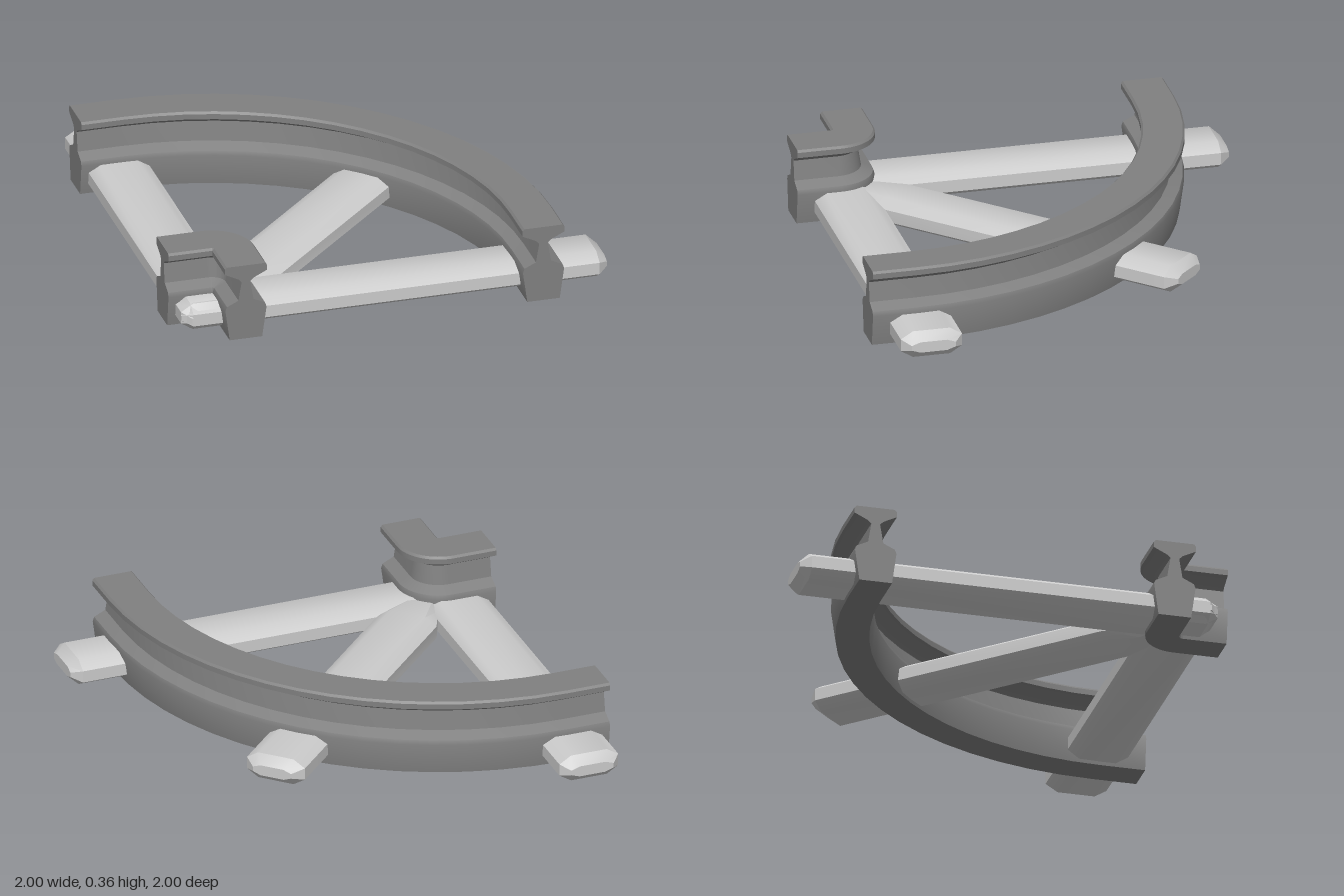
import * as THREE from 'three';
import { toCreasedNormals } from 'three/addons/utils/BufferGeometryUtils.js';

const railMaterial = new THREE.MeshStandardMaterial({ color: 0x808080 });
const sleeperMaterial = new THREE.MeshStandardMaterial({ color: 0xcccccc });

// Skin a list of equal-length rings of Vector3 and close both ends.
// outline is the 2D cross-section (counter-clockwise) used to fill the caps.
function loft(rings, outline, crease) {
  const n = outline.length;
  const index = [];
  for (let i = 0; i < rings.length - 1; i++) {
    for (let j = 0; j < n; j++) {
      const a = i * n + j, b = i * n + (j + 1) % n;
      index.push(a, b, b + n, a, b + n, a + n);
    }
  }
  const last = (rings.length - 1) * n;
  for (const [a, b, c] of THREE.ShapeUtils.triangulateShape(outline, [])) {
    index.push(c, b, a, last + a, last + b, last + c);
  }
  const geometry = new THREE.BufferGeometry().setFromPoints(rings.flat());
  geometry.setIndex(index);
  return toCreasedNormals(geometry, crease);
}

// Right half of the rail section, bottom to top: foot, web, head
const halfRail = [
  [0.075, 0], [0.095, 0.145], [0.088, 0.165], [0.035, 0.19],
  [0.02, 0.28], [0.035, 0.295], [0.097, 0.325], [0.097, 0.35], [0.088, 0.36],
];
const railOutline = [
  ...halfRail.map(([u, v]) => new THREE.Vector2(u, v)),
  ...halfRail.slice().reverse().map(([u, v]) => new THREE.Vector2(-u, v)),
];

// Quarter turn about (-0.8, 0.8) with a short straight at each end
function makeRail(name, radius) {
  const steps = 16;
  const station = (angle, dx, dz) => railOutline.map(({ x, y }) => {
    const r = radius + x;
    return new THREE.Vector3(-0.8 + dx + r * Math.sin(angle), y, 0.8 + dz - r * Math.cos(angle));
  });
  const rings = [station(0, -0.2, 0)];
  for (let i = 0; i <= steps; i++) rings.push(station(i / steps * Math.PI / 2, 0, 0));
  rings.push(station(Math.PI / 2, 0, 0.2));
  const mesh = new THREE.Mesh(loft(rings, railOutline, 0.6), railMaterial);
  mesh.name = name;
  return mesh;
}

// Eight-sided sleeper section, centred on the origin
const sleeperOutline = [
  [0.085, -0.062], [0.14, -0.028], [0.14, 0.028], [0.085, 0.062],
  [-0.085, 0.062], [-0.14, 0.028], [-0.14, -0.028], [-0.085, -0.062],
].map(([u, v]) => new THREE.Vector2(u, v));

// Stations are [position along z, width scale, height scale]
function makeSleeper(name, stations, x, z, turn) {
  const rings = stations.map(([t, w, h]) =>
    sleeperOutline.map((p) => new THREE.Vector3(p.x * w, p.y * h, t)));
  const mesh = new THREE.Mesh(loft(rings, sleeperOutline, 0.65), sleeperMaterial);
  mesh.name = name;
  mesh.position.set(x, 0.078, z);
  mesh.rotation.y = turn;
  return mesh;
}

// Sleeper with both ends chamfered
const chamfered = (from, to) => [
  [from, 0.72, 0.4], [from + 0.045, 1, 1], [to - 0.045, 1, 1], [to, 0.72, 0.4],
];

export function createModel() {
  const model = new THREE.Group();
  model.name = 'curvedTrack';
  model.add(
    makeRail('innerRail', 0.0985),
    makeRail('outerRail', 1.4725),
    makeSleeper('backSleeper', chamfered(-1, 0.92), -0.825, 0, 0),
    makeSleeper('sideSleeper', chamfered(-0.965, 1), 0, 0.78, Math.PI / 2),
    // Diagonal sleeper narrows where it meets the inner rail
    makeSleeper('diagonalSleeper',
      [[-1.06, 0.4, 0.4], [-0.93, 0.62, 0.9], [-0.79, 1, 1], [0.675, 1, 1], [0.72, 0.66, 0.4]],
      0, 0, Math.PI * 0.75),
  );
  return model;
}
